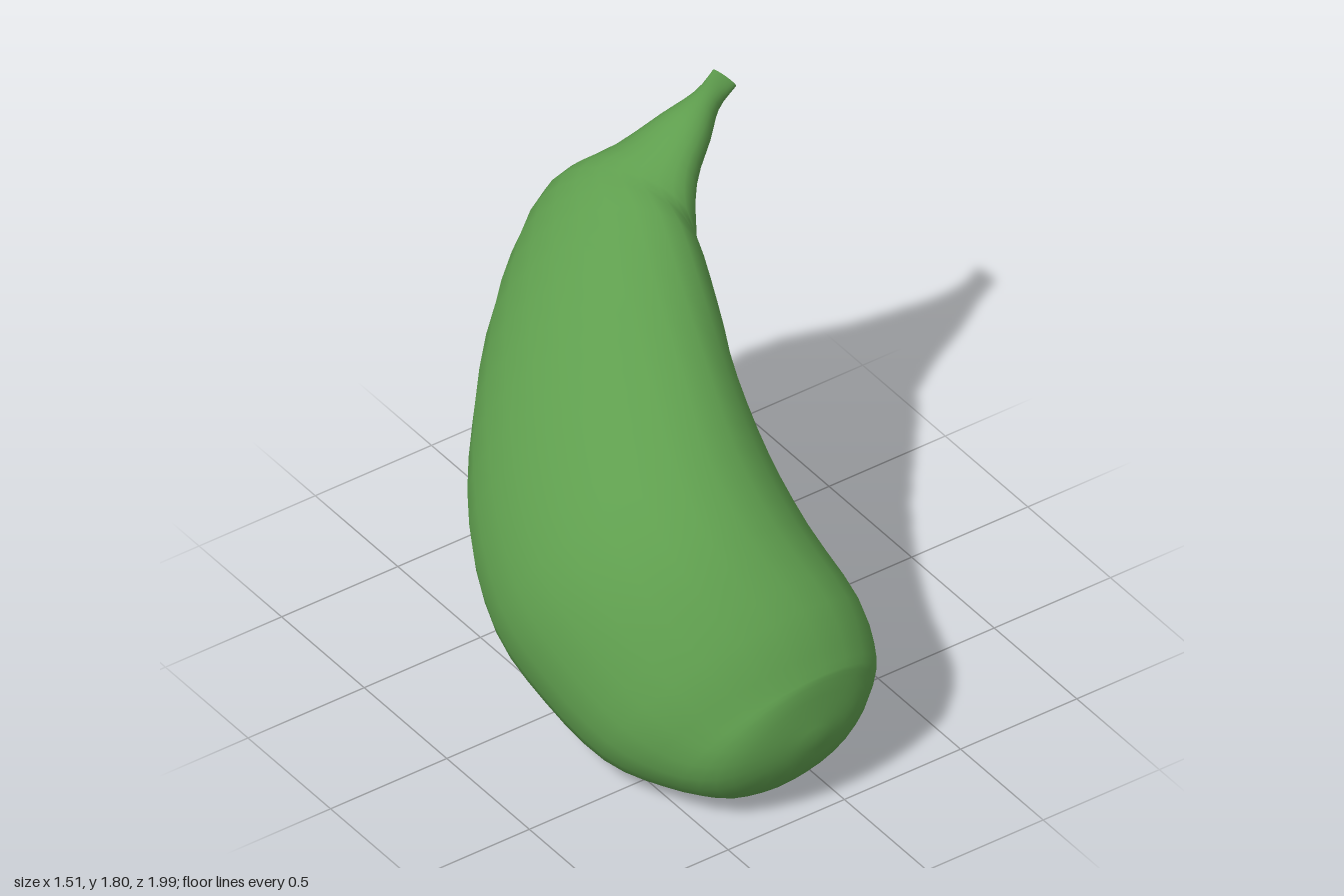
import * as THREE from 'three';
import { mergeVertices } from 'three/addons/utils/BufferGeometryUtils.js';

// Oval sections from the blunt end to the stem: centre, half axis across, half axis upward
const SECTIONS = [
  [[-0.12, 0.32, 1.00], [0, 0, 0], [0, 0, 0]],
  [[-0.13, 0.31, 0.972], [0.19, 0, 0], [0.03, 0.14, 0.01]],
  [[-0.155, 0.29, 0.91], [0.31, 0, 0], [0.08, 0.24, 0.06]],
  [[-0.175, 0.295, 0.79], [0.40, 0, 0], [0.12, 0.285, 0.16]],
  [[-0.21, 0.38, 0.61], [0.47, 0, 0], [0.14, 0.38, 0.23]],
  [[-0.245, 0.51, 0.33], [0.49, 0, 0], [0.11, 0.465, 0.28]],
  [[-0.25, 0.66, 0.07], [0.48, 0, 0.03], [0.13, 0.48, 0.28]],
  [[-0.18, 0.84, -0.20], [0.41, 0, 0.10], [0.16, 0.46, 0.24]],
  [[-0.05, 1.01, -0.42], [0.34, 0, 0.20], [0.12, 0.44, 0.18]],
  [[0.10, 1.20, -0.615], [0.24, 0.02, 0.265], [0.06, 0.41, 0.12]],
  [[0.24, 1.40, -0.70], [0.13, 0.05, 0.285], [-0.03, 0.25, 0.04]],
  [[0.38, 1.585, -0.675], [0.045, 0.03, 0.18], [-0.05, 0.12, 0.02]],
  [[0.51, 1.69, -0.68], [0.03, 0.01, 0.105], [-0.04, 0.085, 0.02]],
  [[0.62, 1.747, -0.705], [0.015, 0, 0.052], [-0.02, 0.052, 0.01]],
  [[0.732, 1.765, -0.755], [0.017, -0.012, 0.045], [-0.01, 0.022, 0]],
];
const SIDES = 24;
const RINGS = 42;

// Smooth curves through the centres and both half axes
const [centres, across, upward] = [0, 1, 2].map((n) => new THREE.CatmullRomCurve3(
  SECTIONS.map((section) => new THREE.Vector3(...section[n])), false, 'catmullrom', 0.5));

// One oval ring at u along the fruit
function ring(u) {
  const centre = centres.getPoint(u);
  const a = across.getPoint(u);
  const b = upward.getPoint(u);
  return Array.from({ length: SIDES }, (_, j) => {
    const t = (j / SIDES) * Math.PI * 2;
    return centre.clone().addScaledVector(a, Math.cos(t)).addScaledVector(b, Math.sin(t));
  });
}

// Skin joining all rings
function bodyGeometry() {
  const points = [];
  const index = [];
  for (let i = 0; i <= RINGS; i++) points.push(...ring(i / RINGS));
  for (let i = 0; i < RINGS; i++) {
    for (let j = 0; j < SIDES; j++) {
      const k = (j + 1) % SIDES;
      const a = i * SIDES + j, b = a + SIDES;
      const c = (i + 1) * SIDES + k, d = i * SIDES + k;
      if (i > 0) index.push(a, c, d);
      index.push(a, b, c);
    }
  }
  let geometry = new THREE.BufferGeometry().setFromPoints(points);
  geometry.setIndex(index);
  geometry = mergeVertices(geometry, 1e-5);
  geometry.computeVertexNormals();
  return geometry;
}

// Flat cut face closing the stem
function stemEndGeometry() {
  const points = [centres.getPoint(1), ...ring(1)];
  const index = [];
  for (let j = 0; j < SIDES; j++) index.push(0, 1 + ((j + 1) % SIDES), 1 + j);
  const geometry = new THREE.BufferGeometry().setFromPoints(points);
  geometry.setIndex(index);
  geometry.computeVertexNormals();
  return geometry;
}

export function createModel() {
  const green = new THREE.MeshStandardMaterial({ color: 0x5f9e4e });
  green.name = 'gourdGreen';

  const gourd = new THREE.Group();
  gourd.name = 'gourd';
  const body = new THREE.Mesh(bodyGeometry(), green);
  body.name = 'body';
  const stemEnd = new THREE.Mesh(stemEndGeometry(), green);
  stemEnd.name = 'stemEnd';
  gourd.add(body, stemEnd);
  return gourd;
}
